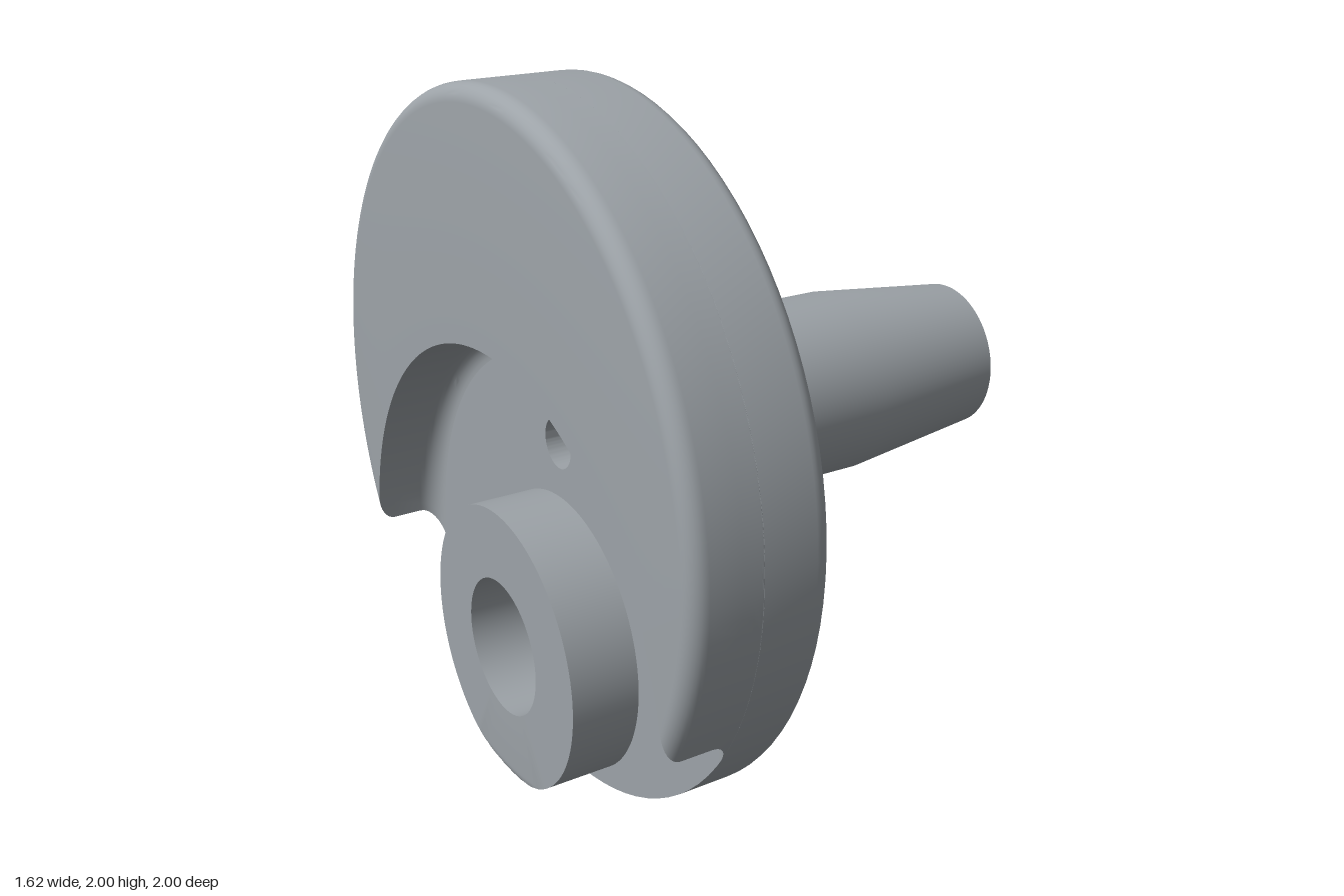
import * as THREE from 'three';
import { toCreasedNormals } from 'three/addons/utils/BufferGeometryUtils.js';

const steel = new THREE.MeshStandardMaterial({ color: 0x9da3a8 });
steel.name = 'steel';
const red = new THREE.MeshStandardMaterial({ color: 0x8a3f3a });
red.name = 'slot red';

// main dimensions; the shaft axis runs along x
const BACK = -0.81, FLOOR = -0.61, STEP = -0.42, FRONT = -0.41;
const EDGE = 0.05;              // rounding of the disc rim
const PIN = 0.57, PIN_HOLE = 0.2, BORE = 0.073;
const SEG = 96;

// surface from a grid of points f(i, j)
function grid(rows, cols, f) {
  const pos = [], idx = [];
  for (let i = 0; i <= rows; i++)
    for (let j = 0; j <= cols; j++) pos.push(...f(i, j));
  for (let i = 0; i < rows; i++)
    for (let j = 0; j < cols; j++) {
      const a = i * (cols + 1) + j, b = a + cols + 1;
      idx.push(a, b, a + 1, b, b + 1, a + 1);
    }
  const g = new THREE.BufferGeometry();
  g.setAttribute('position', new THREE.Float32BufferAttribute(pos, 3));
  g.setIndex(idx);
  return g;
}

// turned part from [radius, x] points
function turned(points) {
  const g = new THREE.LatheGeometry(points.map(p => new THREE.Vector2(p[0], p[1])), SEG);
  return g.rotateZ(-Math.PI / 2);
}

// flat plate between two x positions
function plate(shape, x0, x1) {
  const g = new THREE.ExtrudeGeometry(shape, { depth: x1 - x0, bevelEnabled: false, curveSegments: SEG });
  return g.rotateY(Math.PI / 2).translate(x0, 0, 0);
}

const circle = (r, y = 0, C = THREE.Path) => new C().absarc(0, y, r, 0, Math.PI * 2);

// rim radius of the disc towards its rounded back edge
function rimRadius(x) {
  const h = Math.max(0, x - BACK);
  return h >= EDGE ? 1 : 1 - EDGE + Math.sqrt(EDGE ** 2 - (EDGE - h) ** 2);
}

// radius of the recess wall, with a fillet at its floor
const FILLET = 0.06;
function recessRadius(x) {
  const h = Math.max(0, FLOOR - x);
  return 0.865 - (h >= FILLET ? 0 : FILLET - Math.sqrt(FILLET ** 2 - (FILLET - h) ** 2));
}

export function createModel() {
  const group = new THREE.Group();
  group.name = 'crankshaftHalf';
  const add = (name, geometry, material = steel) => {
    const m = new THREE.Mesh(toCreasedNormals(geometry, 0.3), material);
    m.name = name;
    group.add(m);
  };

  // levels along x from the recess floor to the back face
  const levels = [];
  for (let k = 0; k <= 8; k++) levels.push(FLOOR - FILLET * (1 - Math.cos(k * Math.PI / 16)));
  for (let k = 0; k <= 8; k++) levels.push(BACK + EDGE * (1 - Math.sin(k * Math.PI / 16)));
  const n = levels.length;

  // disc body with bore and pin hole
  const body = circle(0.96, 0, THREE.Shape);
  body.holes.push(circle(BORE), circle(PIN_HOLE, -PIN));
  add('discBody', plate(body, FLOOR, STEP));

  // outer rim with rounded front edge
  const rim = [[0.95, FLOOR], [1, FLOOR]];
  for (let k = 0; k <= 8; k++) {
    const t = k * Math.PI / 16;
    rim.push([1 - EDGE + EDGE * Math.cos(t), FRONT - EDGE + EDGE * Math.sin(t)]);
  }
  add('discRim', turned(rim));

  // raised front ring, its inner edge widened where the pin hole breaks through
  const ring = circle(0.95, 0, THREE.Shape);
  const inner = [];
  for (let k = 0; k < 360; k++) {
    const t = k * Math.PI / 180, across = PIN * Math.cos(t);
    let r = 0.73;
    if (across < 0 && Math.abs(PIN * Math.sin(t)) < PIN_HOLE)
      r = Math.max(r, -across + Math.sqrt(PIN_HOLE ** 2 - (PIN * Math.sin(t)) ** 2));
    inner.push(new THREE.Vector2(r * Math.sin(t), r * Math.cos(t)));
  }
  ring.holes.push(new THREE.Path(inner));
  add('frontRing', plate(ring, STEP, FRONT));

  // crescent counterweight around the back recess
  add('counterweight', grid(2 * n - 1, SEG, (i, j) => {
    const outer = i < n, x = levels[outer ? i : 2 * n - 1 - i];
    const ro = rimRadius(x), ri = recessRadius(x);
    const tipY = (ri * ri - ro * ro - PIN * PIN) / (2 * PIN);
    const tipZ = Math.sqrt(ro * ro - tipY * tipY);
    const r = outer ? ro : ri, cy = outer ? 0 : -PIN;
    const t = Math.atan2(tipZ, tipY - cy) * (2 * j / SEG - 1);
    return [x, cy + r * Math.cos(t), r * Math.sin(t)];
  }));

  // pin boss, trimmed by the disc rim, with its hole
  add('pinBoss', grid(n + 1, SEG, (i, j) => {
    const t = 2 * Math.PI * j / SEG;
    const x = i > n ? FLOOR : levels[Math.min(i, n - 1)];
    let r = PIN_HOLE;
    if (i < n) {
      const limit = PIN * Math.cos(t) + Math.sqrt(rimRadius(x) ** 2 - (PIN * Math.sin(t)) ** 2);
      r = Math.min(0.41, limit);
    }
    return [x, -PIN + r * Math.cos(t), r * Math.sin(t)];
  }));

  // tapered shaft with shoulder and through bore
  add('shaft', turned([
    [0.36, STEP], [0.36, FRONT], [0.272, FRONT], [0.272, 0.32], [0.222, 0.775],
    [0.18, 0.81], [BORE, 0.81], [BORE, FLOOR],
  ]));

  // key slot marking under the taper
  add('keySlot', grid(1, 6, (i, j) => {
    const x = i ? 0.72 : 0.41;
    const r = 0.274 - 0.05 * (x - 0.32) / 0.455;
    const t = 0.03 / r * (j / 3 - 1);
    return [x, -r * Math.cos(t), r * Math.sin(t)];
  }), red);

  group.position.y = 1;
  const root = new THREE.Group();
  root.name = 'model';
  root.add(group);
  return root;
}
